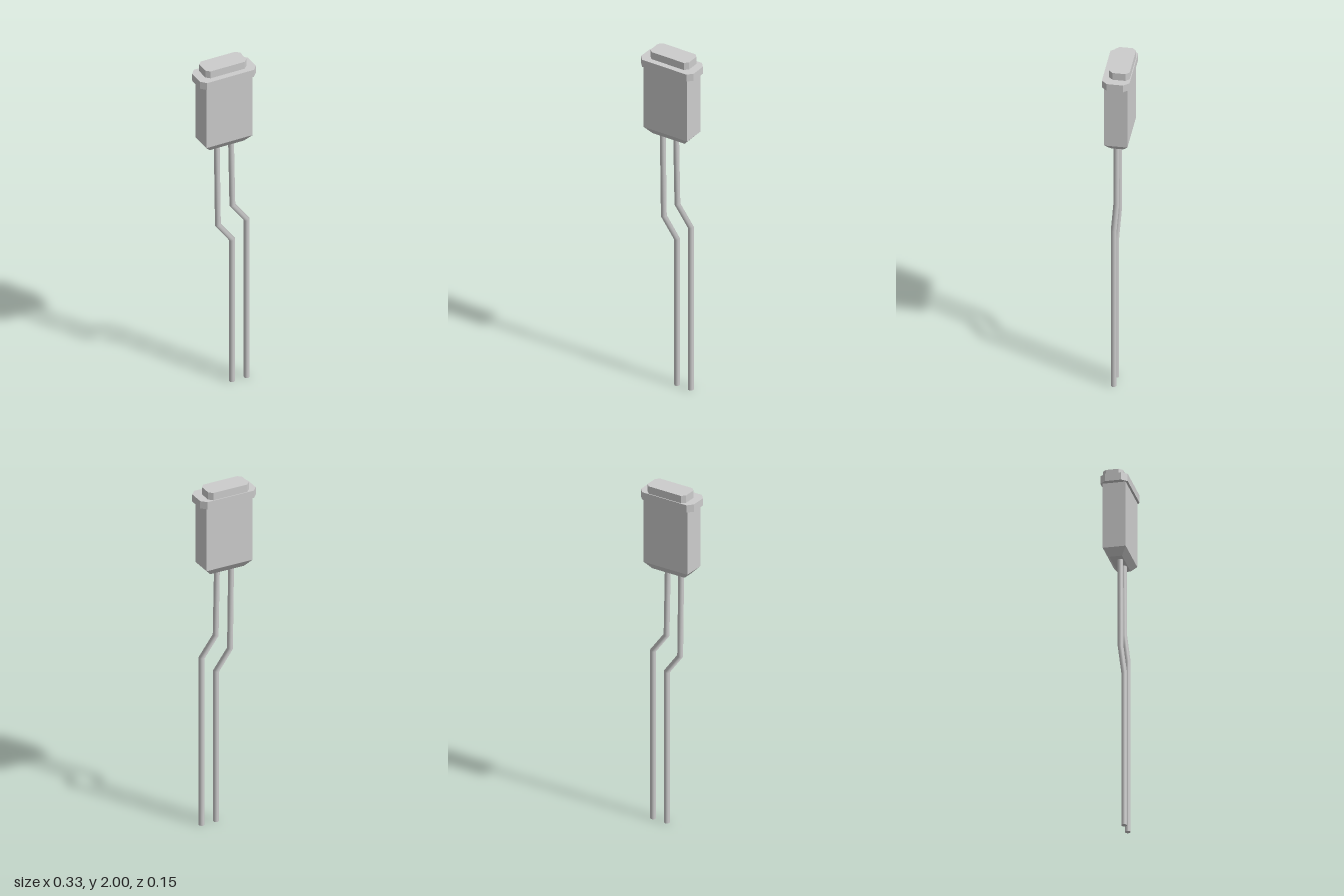
import * as THREE from 'three';

const grey = new THREE.MeshStandardMaterial({ color: 0xcccccc });
grey.name = 'light grey';

function addMesh(group, name, geometry) {
  const mesh = new THREE.Mesh(geometry, grey);
  mesh.name = name;
  group.add(mesh);
  return mesh;
}

// Flat plate with four cut corners, lying in xz between y0 and y1
function cutCornerPlate(halfX, halfZ, cutX, cutZ, y0, y1) {
  const x = halfX, z = halfZ, i = halfX - cutX, j = halfZ - cutZ;
  const outline = [[i, -z], [x, -j], [x, j], [i, z], [-i, z], [-x, j], [-x, -j], [-i, -z]];
  const shape = new THREE.Shape(outline.map(([a, b]) => new THREE.Vector2(a, b)));
  const geometry = new THREE.ExtrudeGeometry(shape, { depth: y1 - y0, bevelEnabled: false });
  return geometry.rotateX(-Math.PI / 2).translate(0, y0, 0);
}

// Box whose bottom row is drawn in to make a sloped base, with flat faces
function bodyGeometry() {
  const geometry = new THREE.BoxGeometry(2, 2, 2, 1, 2, 1).toNonIndexed();
  const rows = [[1.502, 0.102, 0.034], [1.541, 0.138, 0.062], [1.917, 0.138, 0.062]];
  const p = geometry.attributes.position;
  for (let i = 0; i < p.count; i++) {
    const [y, hx, hz] = rows[Math.round(p.getY(i)) + 1];
    p.setXYZ(i, p.getX(i) * hx, y, p.getZ(i) * hz);
  }
  geometry.computeVertexNormals();
  return geometry;
}

// Smooth round wire through four points, mitred at its two bends
function legGeometry(path) {
  const geometry = new THREE.CylinderGeometry(0.0155, 0.0155, 3, 12, 3);
  const p = geometry.attributes.position;
  for (let i = 0; i < p.count; i++) {
    const ring = Math.round(1.5 - p.getY(i));
    const [x, y] = path[ring];
    const tilt = ring === 1 || ring === 2 ? 0.32 : 0;
    p.setXY(i, x + p.getX(i), y + p.getX(i) * tilt);
  }
  return geometry;
}

export function createModel() {
  const model = new THREE.Group();
  model.name = 'twoLeadComponent';

  addMesh(model, 'body', bodyGeometry());
  addMesh(model, 'flange', cutCornerPlate(0.167, 0.074, 0.027, 0.03, 1.914, 1.957));
  addMesh(model, 'cap', cutCornerPlate(0.122, 0.055, 0.02, 0.02, 1.952, 2)).position.z = -0.014;

  // The two bent wires
  const legs = {
    rightLeg: [[-0.05, 1.515], [-0.043, 1.005], [0.041, 0.89], [0.041, 0]],
    leftLeg: [[0.035, 1.515], [0.043, 1.105], [0.128, 0.99], [0.128, 0]],
  };
  for (const [name, path] of Object.entries(legs)) {
    addMesh(model, name, legGeometry(path)).position.z = 0.013;
  }
  return model;
}
